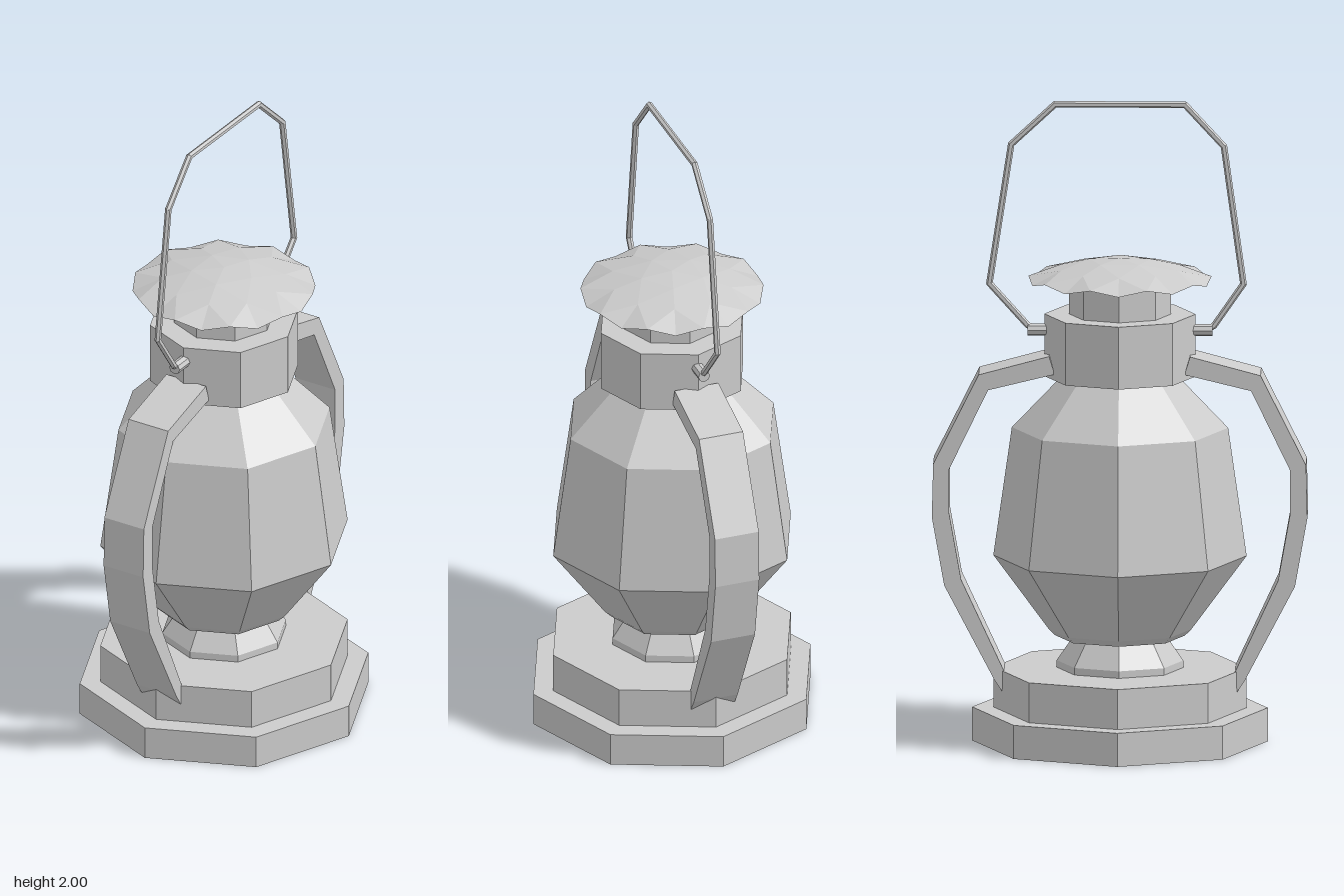
import * as THREE from 'three';

const mat = new THREE.MeshStandardMaterial({ color: 0xcccccc, flatShading: true });
const thinMat = new THREE.MeshStandardMaterial({ color: 0xcccccc, flatShading: true, side: THREE.DoubleSide });

function add(parent, name, geometry, material = mat) {
  const mesh = new THREE.Mesh(geometry, material);
  mesh.name = name;
  parent.add(mesh);
  return mesh;
}

// Closed eight-sided turned part from [radius, height] pairs, bottom to top
function turned(profile) {
  const pts = [[0, profile[0][1]], ...profile, [0, profile[profile.length - 1][1]]];
  return new THREE.LatheGeometry(pts.map(([r, y]) => new THREE.Vector2(r, y)), 8);
}

// Faceted shallow dome: each ring has twice as many corners as the one inside it
function domeGeometry() {
  const rings = [[5, 0.1, 1.502], [10, 0.19, 1.48], [20, 0.282, 1.446]];
  const point = (k, i) => {
    const [n, r, y] = rings[k];
    const a = (i / n) * Math.PI * 2;
    const wave = k === 2 ? (i % 2 ? 0.008 : -0.009) : 0;
    return [r * Math.cos(a), y + wave, r * Math.sin(a)];
  };
  const pos = [];
  const tri = (...corners) => corners.forEach((c) => pos.push(...c));
  for (let i = 0; i < 5; i++) tri([0, 1.51, 0], point(0, i + 1), point(0, i));
  for (let k = 0; k < 2; k++) {
    for (let i = 0; i < rings[k][0]; i++) {
      const a = point(k, i);
      tri(a, point(k + 1, 2 * i), point(k + 1, 2 * i - 1));
      tri(a, point(k + 1, 2 * i + 1), point(k + 1, 2 * i));
      tri(a, point(k, i + 1), point(k + 1, 2 * i + 1));
    }
  }
  const g = new THREE.BufferGeometry();
  g.setAttribute('position', new THREE.Float32BufferAttribute(pos, 3));
  g.computeVertexNormals();
  return g;
}

// Flat bent side tube, outlined in the z-y plane and given width along x
function bracketGeometry() {
  const outline = [
    [0.217, 1.214], [0.434, 1.156], [0.574, 0.876], [0.578, 0.71], [0.54, 0.497], [0.387, 0.205],
    [0.362, 0.167], [0.355, 0.228], [0.488, 0.515], [0.525, 0.722], [0.525, 0.86], [0.405, 1.108], [0.2, 1.158],
  ];
  const shape = new THREE.Shape(outline.map(([z, y]) => new THREE.Vector2(z, y)));
  const g = new THREE.ExtrudeGeometry(shape, { depth: 0.144, bevelEnabled: false });
  return g.translate(0, 0, -0.072).rotateY(-Math.PI / 2);
}

// Straight wire between two points
function addWire(parent, a, b) {
  const dir = b.clone().sub(a);
  const wire = add(parent, 'handleWire', new THREE.CylinderGeometry(0.01, 0.01, dir.length() + 0.006, 6));
  wire.position.copy(a).lerp(b, 0.5);
  wire.quaternion.setFromUnitVectors(new THREE.Vector3(0, 1, 0), dir.normalize());
}

export function createModel() {
  const lantern = new THREE.Group();
  lantern.name = 'lantern';

  // Stepped base and burner neck
  add(lantern, 'base', turned([[0.455, 0], [0.455, 0.105]]));
  add(lantern, 'fuelTank', turned([[0.39, 0.105], [0.39, 0.23]]));
  add(lantern, 'burnerNeck', turned([[0.195, 0.23], [0.195, 0.252], [0.135, 0.34]]));

  // Globe, collar and chimney
  add(lantern, 'globe', turned([[0.2, 0.33], [0.22, 0.35], [0.39, 0.58], [0.333, 0.98], [0.175, 1.145]]));
  add(lantern, 'collar', turned([[0.233, 1.14], [0.233, 1.335]]));
  add(lantern, 'chimney', turned([[0.157, 1.335], [0.157, 1.47]]));
  add(lantern, 'cap', domeGeometry(), thinMat);

  // Side brackets and handle pegs, front and back
  for (const side of [1, -1]) {
    const half = new THREE.Group();
    half.name = side > 0 ? 'frontFittings' : 'backFittings';
    add(half, 'bracket', bracketGeometry());
    const peg = add(half, 'handlePeg', new THREE.CylinderGeometry(0.019, 0.019, 0.09, 8));
    peg.rotation.x = Math.PI / 2;
    peg.position.set(0, 1.286, 0.24);
    if (side < 0) half.rotation.y = Math.PI;
    lantern.add(half);
  }

  // Wire carrying handle
  const handle = new THREE.Group();
  handle.name = 'handle';
  const path = [
    [0.275, 1.29], [0.29, 1.3], [0.38, 1.43], [0.32, 1.86], [0.2, 1.99],
    [-0.2, 1.99], [-0.335, 1.865], [-0.402, 1.43], [-0.285, 1.3], [-0.27, 1.29],
  ].map(([z, y]) => new THREE.Vector3(0, y, z));
  for (let i = 1; i < path.length; i++) addWire(handle, path[i - 1], path[i]);
  lantern.add(handle);

  return lantern;
}
